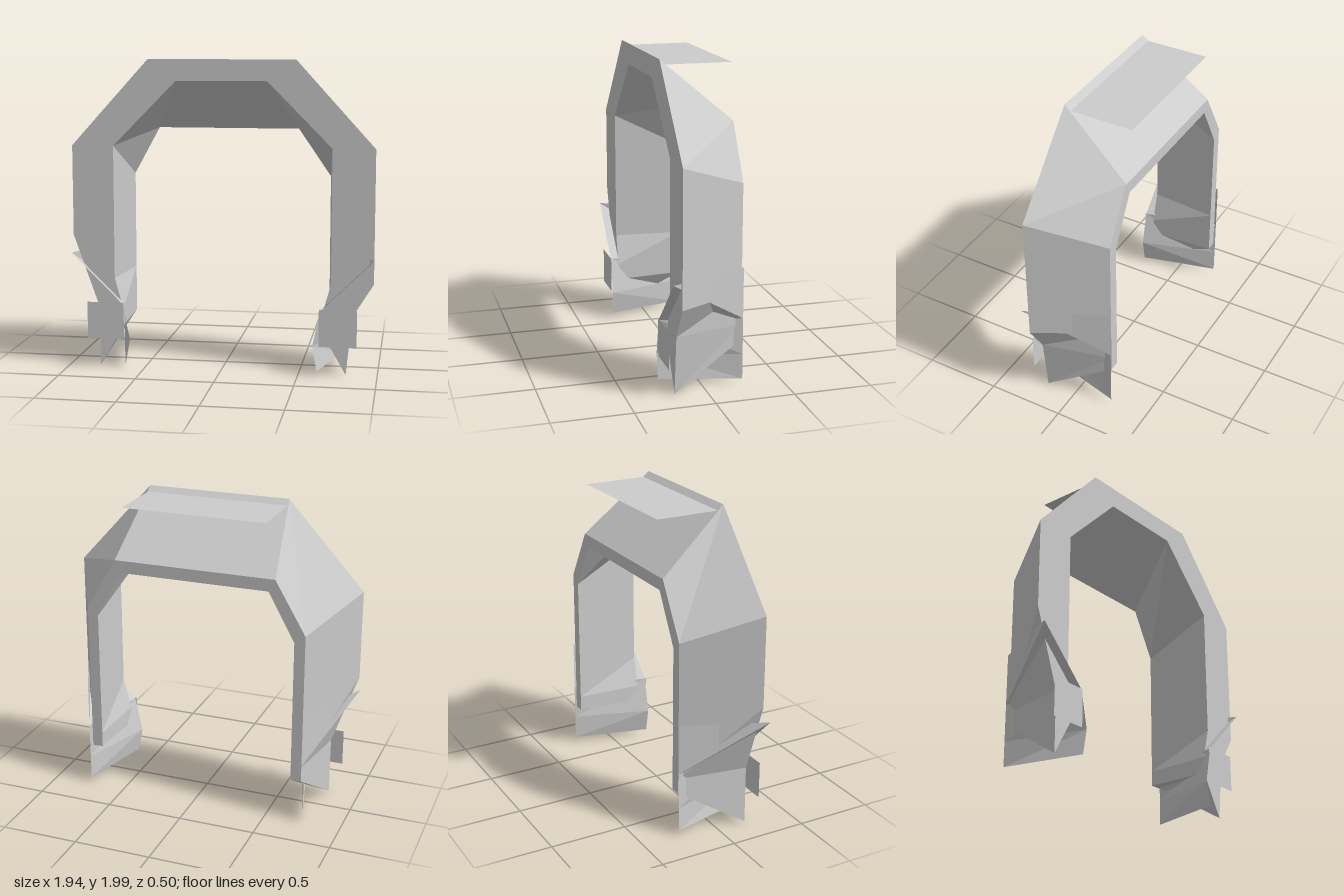
import * as THREE from 'three';

const grey = new THREE.MeshStandardMaterial({ color: 0xcccccc, side: THREE.DoubleSide });
grey.name = 'plain grey';

// Flat-shaded mesh from a list of corner quads, each split along its first-third diagonal
function quadMesh(name, quads) {
  const positions = quads.flatMap(([a, b, c, d]) => [a, b, c, a, c, d].flat());
  const geometry = new THREE.BufferGeometry();
  geometry.setAttribute('position', new THREE.Float32BufferAttribute(positions, 3));
  geometry.computeVertexNormals();
  const mesh = new THREE.Mesh(geometry, grey);
  mesh.name = name;
  return mesh;
}

// Cross-sections of one half of the arch, from foot to crown.
// kneeX and kneeY shape the outer front edge, which differs on the two legs.
function halfSections(side, kneeX, kneeY) {
  const frontZ = 0.2, backZ = -0.245;
  const outerFront = [[0.8, 0.01], [kneeX, 0.39], [0.97, kneeY], [0.97, 1.45], [0.47, 2]];
  const outerBack = [[0.73, 0.29], [0.73, 0.39], [0.73, kneeY], [0.73, 1.28], [0.53, 1.62]];
  const innerBack = [[0.66, 0.29], [0.66, 0.39], [0.66, 0.59], [0.66, 1.23], [0.49, 1.54]];
  const innerFront = [[0.645, 0.28], [0.645, 0.39], [0.7, 0.59], [0.7, 1.45], [0.29, 1.865]];
  const at = ([x, y], z) => [side * x, y, z];
  return outerFront.map((p, i) => [
    at(p, frontZ), at(outerBack[i], backZ), at(innerBack[i], backZ), at(innerFront[i], frontZ),
  ]);
}

// Tapered arch skinned across both halves, closed at the feet
function createArch() {
  const rings = [...halfSections(1, 0.84, 0.6), ...halfSections(-1, 0.8, 0.87).reverse()];
  const quads = [];
  for (let i = 0; i < rings.length - 1; i++) {
    for (let k = 0; k < 4; k++) {
      const n = (k + 1) % 4;
      quads.push([rings[i][k], rings[i][n], rings[i + 1][n], rings[i + 1][k]]);
    }
  }
  quads.push([...rings[0]].reverse(), rings[rings.length - 1]);
  return quadMesh('arch', quads);
}

// Folded sheet through the foot: bent front edge, straight upright back edge
function createFlap(side) {
  const profile = [[0.97, 0.76], [0.64, 0.435], [0.59, 0.2], [0.62, 0.04]];
  const front = profile.map(([x, y]) => [side * x, y, 0.255]);
  const back = profile.map(([, y]) => [side * 0.75, y, -0.25]);
  const quads = [];
  for (let i = 0; i < profile.length - 1; i++) {
    const quad = [front[i], back[i], back[i + 1], front[i + 1]];
    quads.push(side > 0 ? quad : [quad[0], quad[3], quad[2], quad[1]]);
  }
  return quadMesh(side > 0 ? 'leftFlap' : 'rightFlap', quads);
}

export function createModel() {
  const model = new THREE.Group();
  model.name = 'arch model';
  model.add(createArch());

  // Level sheet behind the crown
  const roof = new THREE.Mesh(new THREE.PlaneGeometry(0.94, 0.41), grey);
  roof.name = 'roofSheet';
  roof.rotation.x = -Math.PI / 2;
  roof.position.set(0, 1.967, -0.045);
  model.add(roof);

  // Feet: folded flap and a flat front plate on each side
  for (const side of [1, -1]) {
    model.add(createFlap(side));
    const plate = new THREE.Mesh(new THREE.PlaneGeometry(0.24, 0.24), grey);
    plate.name = side > 0 ? 'leftFootPlate' : 'rightFootPlate';
    plate.position.set(side * 0.75, 0.32, 0.255);
    model.add(plate);
  }
  return model;
}
